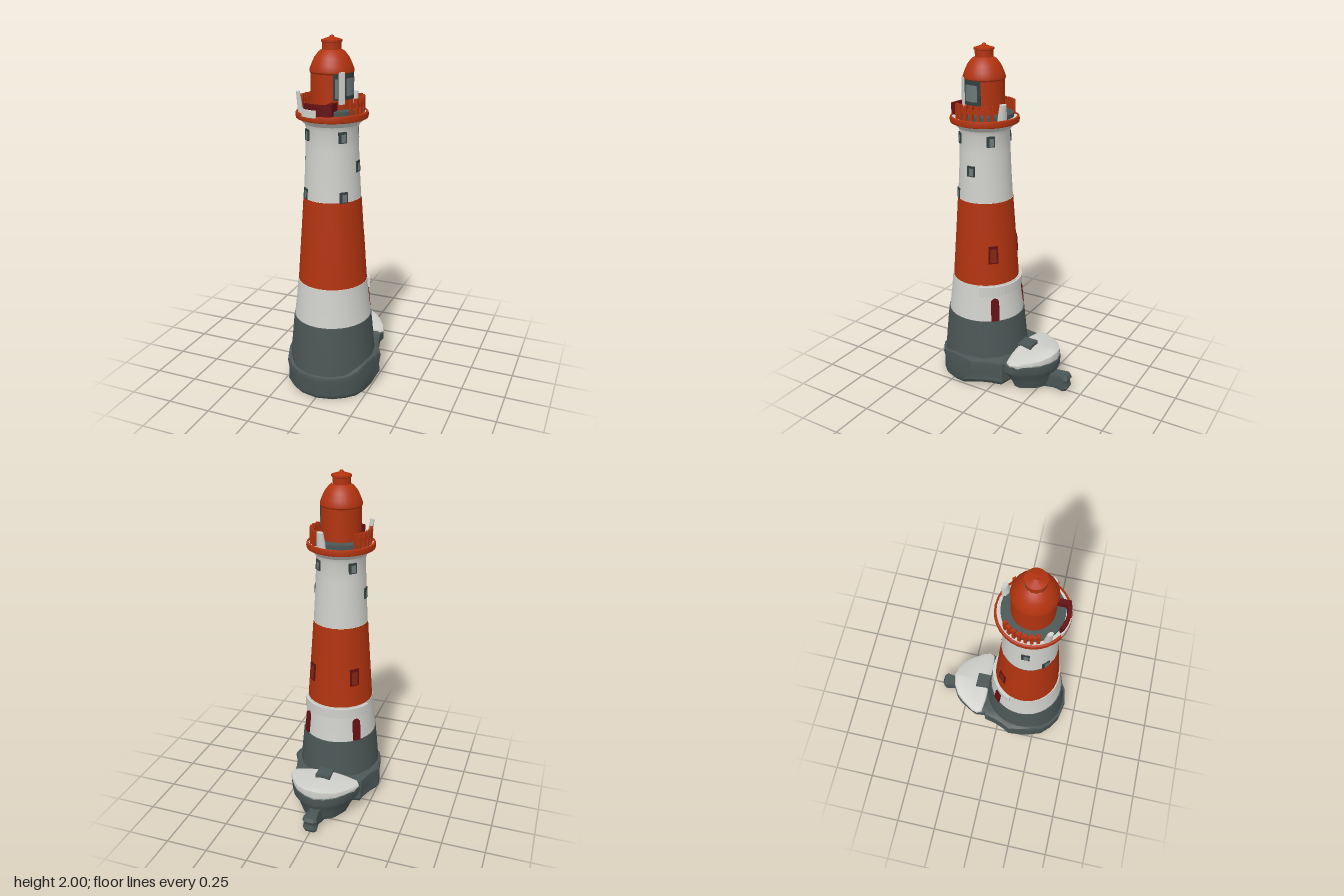
import * as THREE from 'three';
import { toCreasedNormals } from 'three/addons/utils/BufferGeometryUtils.js';

const mat = (name, color) => Object.assign(new THREE.MeshStandardMaterial({ color }), { name });
const white = mat('white paint', 0xcfcfcb);
const red = mat('red paint', 0xb1330f);
const grey = mat('dark stone', 0x4a5655);
const darkRed = mat('dark red', 0x640f12);
const glass = mat('grey glass', 0x6c7877);
const shade = mat('window recess', 0x343e3e);
const rust = mat('shaded red', 0x80260f);

const CZ = 0.147; // tower axis
const deg = Math.PI / 180;

function add(parent, name, geometry, material) {
  const mesh = new THREE.Mesh(geometry, material);
  mesh.name = name;
  parent.add(mesh);
  return mesh;
}

// Turned part from [radius, y] pairs
function turned(parent, name, profile, material, sides = 32) {
  const geo = new THREE.LatheGeometry(profile.map(([r, y]) => new THREE.Vector2(r, y)), sides);
  return add(parent, name, toCreasedNormals(geo, 0.5), material);
}

// Solid arc; angles in degrees from +z towards +x
function arcBlock(parent, name, r0, r1, y0, y1, a0, a1, material) {
  const s = new THREE.Shape();
  const t0 = (a0 - 90) * deg, t1 = (a1 - 90) * deg;
  s.absarc(0, 0, r1, t0, t1, false);
  s.absarc(0, 0, r0, t1, t0, true);
  const geo = new THREE.ExtrudeGeometry(s, { depth: y1 - y0, bevelEnabled: false, curveSegments: 10 });
  geo.rotateX(-Math.PI / 2).translate(0, y0, 0);
  return add(parent, name, geo, material);
}

// Frame on the tower wall, local +z pointing outwards
function onWall(parent, name, angle, r, y, slope = 0) {
  const pivot = new THREE.Group();
  pivot.name = name;
  pivot.rotation.y = angle * deg;
  const g = new THREE.Group();
  g.position.set(0, y, r);
  g.rotation.x = -slope;
  pivot.add(g);
  parent.add(pivot);
  return g;
}

const box = (w, h, d) => new THREE.BoxGeometry(w, h, d);

// Mirror a half outline of [x, z] from front (or back) centre to the other centre
const mirror = half => [...half, ...half.slice(1, -1).reverse().map(([x, z]) => [-x, z])];

// Closed loft through rings of [x, y, z] points
function loft(rings) {
  const n = rings[0].length, pos = rings.flat(2), idx = [];
  for (let l = 0; l < rings.length - 1; l++)
    for (let i = 0; i < n; i++) {
      const j = (i + 1) % n, a = l * n + i, b = l * n + j;
      idx.push(a, b, b + n, a, b + n, a + n);
    }
  [[rings[0], 0, true], [rings.at(-1), (rings.length - 1) * n, false]].forEach(([ring, o, under]) => {
    const c = pos.length / 3;
    for (let k = 0; k < 3; k++) pos.push(ring.reduce((s, p) => s + p[k], 0) / n);
    for (let i = 0; i < n; i++) {
      const j = (i + 1) % n;
      under ? idx.push(c, o + j, o + i) : idx.push(c, o + i, o + j);
    }
  });
  const geo = new THREE.BufferGeometry();
  geo.setAttribute('position', new THREE.Float32BufferAttribute(pos, 3));
  geo.setIndex(idx);
  return toCreasedNormals(geo, 0.6);
}

// Ring of an outline, scaled about (0, cz), with y given as a rule of x and z
const ring = (outline, s, cz, y) => outline.map(([x, z]) => [x * s, y(x, z), cz + (z - cz) * s]);

function buildRock(parent) {
  // Foot under the tower, lower at the front
  const foot = mirror([[0, 0.425], [0.1, 0.405], [0.17, 0.36], [0.22, 0.31], [0.248, 0.23],
    [0.262, 0.17], [0.278, 0.09], [0.252, 0.04], [0.23, -0.02], [0.215, -0.09], [0.1, -0.12], [0, -0.13]]);
  const floor = z => THREE.MathUtils.smoothstep(0.2 - z, 0, 0.12) * 0.04;
  const lip = (x, z) => 0.14 + 0.05 * THREE.MathUtils.smoothstep(0.38 - z, 0, 0.14);
  add(parent, 'rockFoot', loft([
    ring(foot, 0.93, 0.15, (x, z) => floor(z)),
    ring(foot, 0.985, 0.15, (x, z) => 0.025 + floor(z)),
    ring(foot, 0.97, 0.15, (x, z) => 0.09 + floor(z) / 2),
    ring(foot, 1, 0.15, (x, z) => lip(x, z) - 0.02),
    ring(foot, 0.985, 0.15, lip),
    ring(foot, 0.86, 0.15, (x, z) => lip(x, z) + 0.012),
  ]), grey);

  // Undercut ledge behind the tower
  const ledge = mirror([[0, -0.03], [0.15, -0.05], [0.21, -0.1], [0.215, -0.15], [0.19, -0.2],
    [0.15, -0.27], [0.12, -0.3], [0.06, -0.335], [0, -0.35]]);
  add(parent, 'rockLedge', loft([
    ring(ledge, 0.66, -0.2, () => 0.015),
    ring(ledge, 0.75, -0.2, () => 0.06),
    ring(ledge, 0.84, -0.18, () => 0.1),
    ring(ledge, 0.99, -0.18, () => 0.14),
    ring(ledge, 0.99, -0.18, () => 0.19),
    ring(ledge, 0.9, -0.18, () => 0.205),
  ]), grey);

  // Pale top of the ledge
  const cap = mirror([[0, -0.1], [0.12, -0.1], [0.2, -0.11], [0.217, -0.14], [0.205, -0.18],
    [0.16, -0.25], [0.12, -0.295], [0.06, -0.33], [0, -0.345]]);
  const capTop = (x, z) => 0.215 + 0.03 * Math.max(0, 1 - Math.abs(x) / 0.22);
  add(parent, 'ledgeTop', loft([
    ring(cap, 0.97, -0.2, () => 0.18),
    ring(cap, 1, -0.2, () => 0.2),
    ring(cap, 0.97, -0.2, (x, z) => capTop(x, z) - 0.005),
    ring(cap, 0.8, -0.2, (x, z) => capTop(x, z) + 0.005),
  ]), white);
  add(parent, 'landingStep', box(0.09, 0.06, 0.1), grey).position.set(0, 0.222, -0.135);

  // Low outcrop at the very back
  const stub = mirror([[0, -0.25], [0.05, -0.27], [0.032, -0.34], [0.045, -0.41], [0.03, -0.428], [0, -0.43]]);
  add(parent, 'rockOutcrop', loft([
    ring(stub, 0.85, -0.34, () => 0.01),
    ring(stub, 0.97, -0.34, () => 0.03),
    ring(stub, 0.88, -0.34, () => 0.06),
    ring(stub, 1, -0.34, () => 0.085),
    ring(stub, 0.88, -0.34, () => 0.105),
  ]), grey);
}

function buildTower(t) {
  turned(t, 'stoneBase', [[0.25, 0.1], [0.243, 0.2], [0.232, 0.32], [0.221, 0.43], [0.2, 0.43]], grey).scale.z = 1.05;
  turned(t, 'lowerWhiteBand', [[0.219, 0.43], [0.206, 0.54], [0.196, 0.65], [0.17, 0.651]], white).scale.z = 1.03;
  turned(t, 'redBand', [[0.195, 0.645], [0.184, 0.8], [0.171, 0.98], [0.16, 1.14]], red);
  turned(t, 'upperWhiteBand', [[0.158, 1.14], [0.149, 1.3], [0.144, 1.42], [0.141, 1.52], [0.149, 1.545], [0.184, 1.575]], white);
  arcBlock(t, 'doorHood', 0.18, 0.213, 0.585, 0.645, 110, 250, white);

  // Windows
  const windows = [45, 135, 225, 315].map(a => [a, 0.143, 1.49])
    .concat([90, 270].map(a => [a, 0.149, 1.32]), [45, 315].map(a => [a, 0.156, 1.167]));
  for (const [a, r, y] of windows) {
    const w = onWall(t, 'window', a, r, y, 0.05);
    add(w, 'windowRecess', box(0.046, 0.06, 0.008), shade);
    add(w, 'windowPane', box(0.026, 0.042, 0.01), glass).position.set(0.004, -0.004, 0);
  }

  // Red shutters and arched doors on the two rear diagonals
  const arch = new THREE.Shape();
  arch.moveTo(-0.024, 0).lineTo(0.024, 0).lineTo(0.024, 0.115);
  arch.absarc(0, 0.115, 0.024, 0, Math.PI, false);
  arch.lineTo(-0.024, 0);
  for (const a of [135, 225]) {
    const s = onWall(t, 'shutter', a, 0.181, 0.835, 0.075);
    add(s, 'shutterFrame', box(0.056, 0.105, 0.01), darkRed);
    add(s, 'shutterPanel', box(0.036, 0.08, 0.012), rust).position.y = -0.005;
    const d = onWall(t, 'door', a, 0.221, 0.432, 0.1);
    add(d, 'doorPanel', new THREE.ExtrudeGeometry(arch, { depth: 0.008, bevelEnabled: false }), darkRed);
  }
}

function buildGallery(t) {
  turned(t, 'galleryRing', [[0.18, 1.572], [0.193, 1.577], [0.196, 1.59], [0.193, 1.608], [0.183, 1.611], [0.183, 1.6]], red);
  turned(t, 'deck', [[0.184, 1.604], [0.1, 1.606]], white);
  turned(t, 'lanternPlinth', [[0.163, 1.6], [0.163, 1.628], [0.1, 1.632]], grey);

  // Side railings with posts
  for (const [a0, a1] of [[59, 136], [226, 290]]) {
    arcBlock(t, 'railing', 0.158, 0.172, 1.645, 1.668, a0, a1, red);
    for (let i = 0; i <= 6; i++) {
      const p = onWall(t, 'railPost', a0 + (a1 - a0) * i / 6, 0.166, 1.647);
      add(p, 'post', box(0.017, 0.085, 0.019), red);
    }
  }

  // Dark red front screen and its return wall
  arcBlock(t, 'frontScreen', 0.168, 0.188, 1.605, 1.668, -29, 22, darkRed);
  const wall = add(t, 'screenReturn', box(0.025, 0.065, 0.085), darkRed);
  wall.position.set(0.056, 1.64, 0.135);
  arcBlock(t, 'paleCoping', 0.186, 0.194, 1.6, 1.64, -32, -3, white);

  // Upright pale fins
  for (const [a, r, w, h] of [[157, 0.168, 0.065, 0.095], [-53, 0.176, 0.05, 0.12]]) {
    const f = onWall(t, 'paleFin', a, r, 1.6 + h / 2, -0.12);
    add(f, 'fin', new THREE.CylinderGeometry(w * 0.35, w * 0.5, h, 8).scale(1, 1, 0.6), white);
  }
}

function buildLantern(t) {
  turned(t, 'lanternRoom', [[0.113, 1.61], [0.113, 1.81], [0.118, 1.818], [0.118, 1.828], [0.108, 1.855],
    [0.092, 1.89], [0.07, 1.918], [0.053, 1.93]], red, 28);
  turned(t, 'ventCap', [[0.05, 1.925], [0.05, 1.965], [0.056, 1.968], [0.056, 1.978], [0.012, 1.992], [0.01, 2], [0, 2]], red, 20);

  // Glazed opening on one side
  arcBlock(t, 'lanternOpening', 0.108, 0.116, 1.68, 1.815, 25, 112, shade);
  arcBlock(t, 'lanternGlass', 0.108, 0.118, 1.7, 1.79, 62, 102, glass);
  arcBlock(t, 'lanternGlassFront', 0.108, 0.118, 1.69, 1.79, 30, 38, glass);
  arcBlock(t, 'paleFrame', 0.108, 0.126, 1.66, 1.825, 40, 55, white);
}

export function createModel() {
  const model = new THREE.Group();
  model.name = 'lighthouse';
  const rock = new THREE.Group();
  rock.name = 'rock';
  buildRock(rock);
  const tower = new THREE.Group();
  tower.name = 'tower';
  tower.position.z = CZ;
  buildTower(tower);
  buildGallery(tower);
  buildLantern(tower);
  model.add(rock, tower);
  return model;
}
